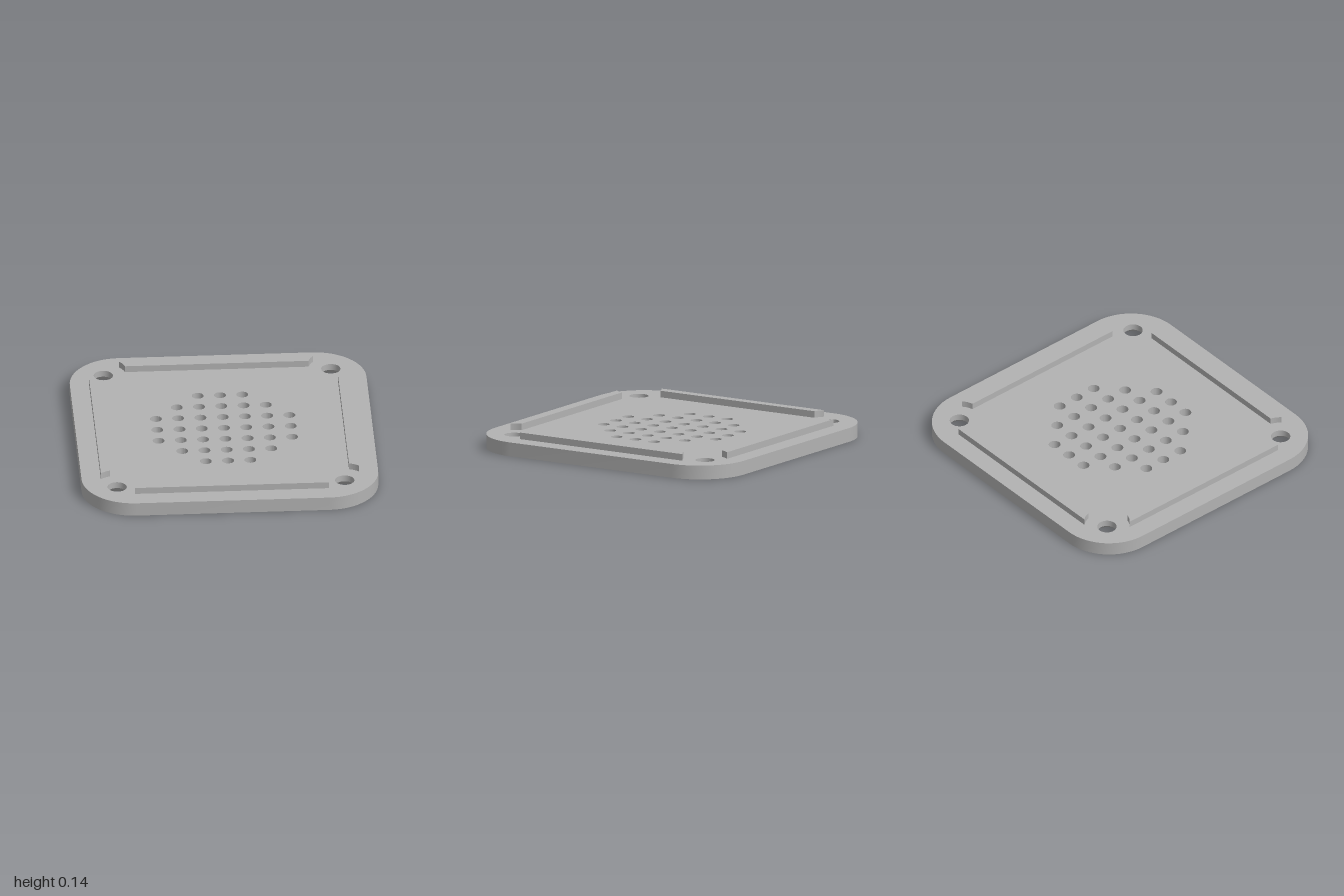
import * as THREE from 'three';
import { mergeGeometries, toCreasedNormals } from 'three/addons/utils/BufferGeometryUtils.js';

const THICK = 0.095, RIDGE_TOP = 0.14, CORNER = 0.35;
const SCREW = 0.767, SCREW_R = 0.065, SINK_R = 0.117, SINK_DEPTH = 0.05;
const VENT_R = 0.04, PITCH = 0.15;

// Points around a circle, from +x towards the second axis
function circle(cx, cy, r, n) {
  return Array.from({ length: n }, (_, i) => {
    const a = (i / n) * Math.PI * 2;
    return new THREE.Vector2(cx + r * Math.cos(a), cy + r * Math.sin(a));
  });
}

// Rounded square, counter-clockwise
function roundedSquare() {
  const c = 1 - CORNER, points = [];
  for (let q = 0; q < 4; q++) {
    const cx = q === 0 || q === 3 ? c : -c, cy = q < 2 ? c : -c;
    for (let i = 0; i <= 16; i++) {
      const a = (q + i / 16) * Math.PI / 2;
      points.push(new THREE.Vector2(cx + CORNER * Math.cos(a), cy + CORNER * Math.sin(a)));
    }
  }
  return points;
}

// Wall between two loops; faces inwards for counter-clockwise loops
function wall(low, y0, high, y1) {
  const pos = [];
  low.forEach((p, i) => {
    const j = (i + 1) % low.length;
    const a = [p.x, y0, p.y], b = [low[j].x, y0, low[j].y];
    const c = [high[j].x, y1, high[j].y], d = [high[i].x, y1, high[i].y];
    pos.push(...a, ...b, ...c, ...a, ...c, ...d);
  });
  const g = new THREE.BufferGeometry();
  g.setAttribute('position', new THREE.Float32BufferAttribute(pos, 3));
  g.computeVertexNormals();
  return g;
}

// Flat face with holes, turned up or down
function face(outline, holes, y, up) {
  const shape = new THREE.Shape(outline);
  shape.holes = holes.map((h) => new THREE.Path(h));
  const g = new THREE.ShapeGeometry(shape).toNonIndexed();
  g.deleteAttribute('uv');
  return g.rotateX(up ? -Math.PI / 2 : Math.PI / 2).translate(0, y, 0);
}

function plateGeometry() {
  const outline = roundedSquare();
  const vents = [], screws = [], sinks = [];
  // Round field of vent holes
  for (let i = -3; i <= 3; i++)
    for (let j = -3; j <= 3; j++)
      if (i * i + j * j <= 10) vents.push(circle(i * PITCH, j * PITCH, VENT_R, 24));
  // Screw holes, countersunk from below
  for (const sx of [-SCREW, SCREW])
    for (const sz of [-SCREW, SCREW]) {
      screws.push(circle(sx, sz, SCREW_R, 32));
      sinks.push(circle(sx, sz, SINK_R, 32));
    }
  const rim = [...outline].reverse();
  const parts = [
    face(outline, [...vents, ...screws], THICK, true),
    face(outline, [...vents, ...sinks], 0, false),
    wall(rim, 0, rim, THICK),
    ...vents.map((v) => wall(v, 0, v, THICK)),
    ...screws.map((s, i) => wall(sinks[i], 0, s, SINK_DEPTH)),
    ...screws.map((s) => wall(s, SINK_DEPTH, s, THICK)),
  ];
  return toCreasedNormals(mergeGeometries(parts), 0.5);
}

// Raised strip whose ends curve around the screw holes
function ridgeGeometry() {
  const r = 0.153, outer = 0.87, inner = 0.805;
  const a0 = Math.asin((inner - SCREW) / r), a1 = Math.asin((outer - SCREW) / r);
  const shape = new THREE.Shape();
  shape.absarc(SCREW, SCREW, r, Math.PI - a1, Math.PI - a0, false);
  shape.absarc(-SCREW, SCREW, r, a0, a1, false);
  shape.closePath();
  const g = new THREE.ExtrudeGeometry(shape, {
    depth: RIDGE_TOP - THICK, bevelEnabled: false, curveSegments: 8,
  });
  return g.rotateX(-Math.PI / 2).translate(0, THICK, 0);
}

export function createModel() {
  const grey = new THREE.MeshStandardMaterial({ color: 0xb2b2b2 });
  grey.name = 'grey';
  const model = new THREE.Group();
  model.name = 'ventCover';

  const plate = new THREE.Mesh(plateGeometry(), grey);
  plate.name = 'plate';
  model.add(plate);

  const ridge = ridgeGeometry();
  ['backRidge', 'rightRidge', 'frontRidge', 'leftRidge'].forEach((name, i) => {
    const mesh = new THREE.Mesh(ridge, grey);
    mesh.name = name;
    mesh.rotation.y = i * Math.PI / 2;
    model.add(mesh);
  });
  return model;
}
